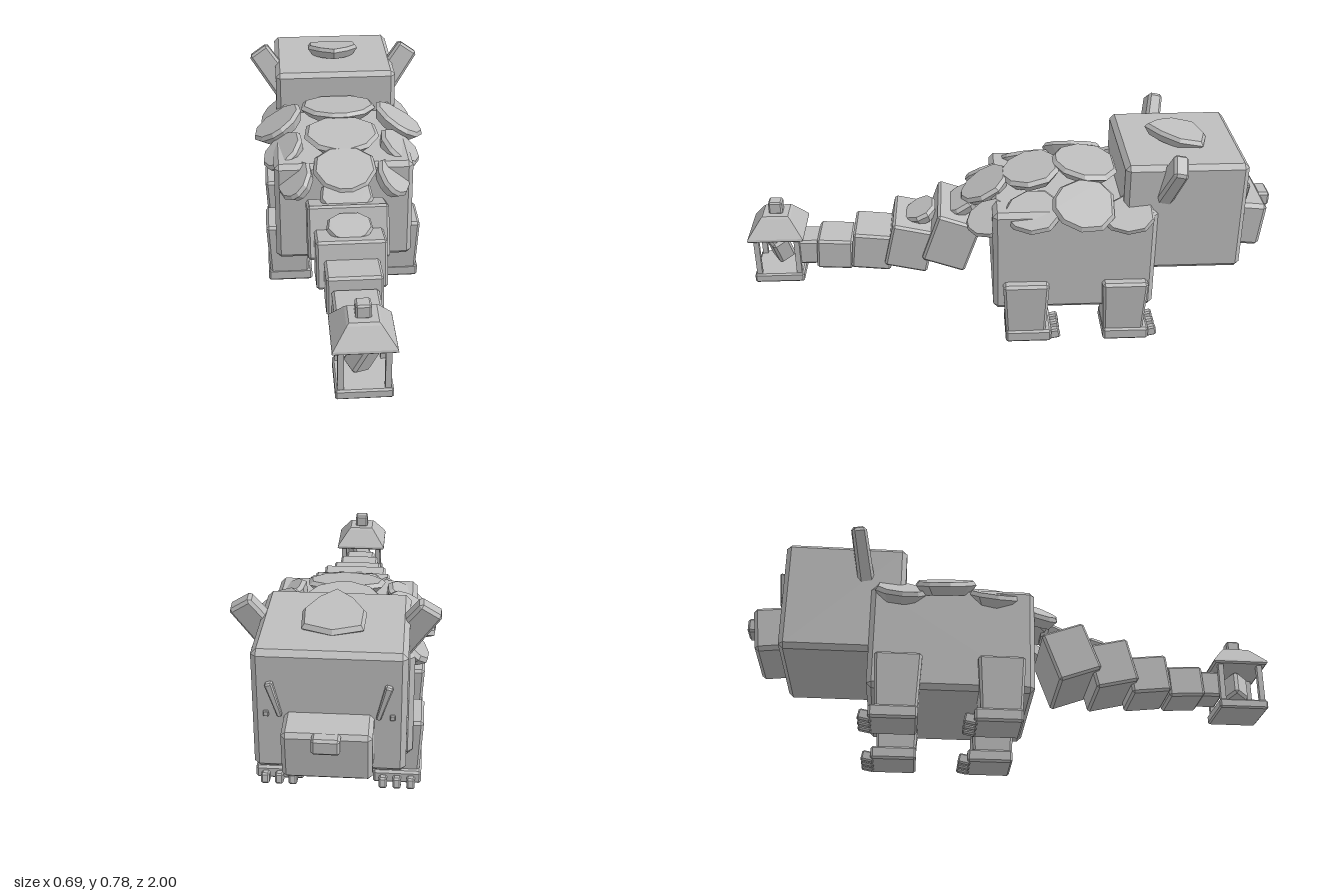
import * as THREE from 'three';
import { ConvexGeometry } from 'three/addons/geometries/ConvexGeometry.js';

const stone = new THREE.MeshStandardMaterial({ color: 0xbdbdbd });
stone.name = 'stone grey';

export function createModel() {
  const model = new THREE.Group();
  model.name = 'lanternTailBeast';

  function add(geometry, name, pos, rot = [0, 0, 0]) {
    const mesh = new THREE.Mesh(geometry, stone);
    mesh.name = name;
    mesh.position.set(...pos);
    mesh.rotation.set(...rot);
    model.add(mesh);
    return mesh;
  }

  // Box with chamfered edges; the bottom may be narrower or wider than the top
  function chamferBox(w, h, d, bevel = 0.01, bottom = 1) {
    const pts = [];
    for (const sx of [-1, 1]) for (const sy of [-1, 1]) for (const sz of [-1, 1])
      for (let full = 0; full < 3; full++) {
        const c = [w, h, d].map((s, i) => s / 2 - (i === full ? 0 : bevel));
        const k = sy < 0 ? bottom : 1;
        pts.push(new THREE.Vector3(sx * c[0] * k, sy * c[1], sz * c[2] * k));
      }
    return new ConvexGeometry(pts);
  }

  // Shield-shaped scale lying flat, with its point towards +z
  const outline = [[-0.22, -0.5], [0.22, -0.5], [0.46, -0.3], [0.5, 0.05], [0.34, 0.36],
    [0.1, 0.5], [-0.1, 0.5], [-0.34, 0.36], [-0.5, 0.05], [-0.46, -0.3]];
  function scalePlate(w, l, t) {
    const pts = [];
    for (const [y, k] of [[-0.5, 0.78], [0.2, 1], [0.5, 0.9]])
      for (const [x, z] of outline) pts.push(new THREE.Vector3(x * w * k, y * t, z * l * k));
    return new ConvexGeometry(pts);
  }

  // Body and head
  add(chamferBox(0.53, 0.41, 0.605, 0.018), 'body', [0, 0.345, -0.228]);
  add(chamferBox(0.49, 0.43, 0.45, 0.018), 'head', [0, 0.505, -0.63]);
  add(chamferBox(0.285, 0.175, 0.15, 0.014), 'snout', [0, 0.415, -0.885], [-0.11, 0, 0]);
  add(chamferBox(0.09, 0.055, 0.05, 0.008), 'nose', [0, 0.47, -0.975]);

  // Crest on top of the head
  const crest = [[-0.1, -0.09], [0, -0.12], [0.1, -0.09], [0.105, 0], [0.06, 0.07], [0, 0.12], [-0.06, 0.07], [-0.105, 0]];
  const crestPts = [];
  for (const [y, k] of [[-0.022, 0.78], [0.008, 1], [0.022, 0.9]])
    for (const [x, z] of crest) crestPts.push(new THREE.Vector3(x * k, y, z * k));
  add(new ConvexGeometry(crestPts), 'headCrest', [0, 0.738, -0.62], [-0.2, 0, 0]);

  for (const s of [1, -1]) {
    const side = s > 0 ? 'left' : 'right';

    // Ears, brows and eyes
    add(chamferBox(0.09, 0.21, 0.055, 0.01, 1.12), side + 'Ear', [s * 0.256, 0.675, -0.572], [-0.2, 0, -s * 0.6]);
    add(chamferBox(0.026, 0.125, 0.03, 0.005, 0.6), side + 'Brow', [s * 0.172, 0.555, -0.86], [0, 0, -s * 0.28]);
    add(chamferBox(0.018, 0.02, 0.012, 0.003), side + 'Eye', [s * 0.2, 0.5, -0.856]);

    // Legs with feet and three claws
    for (const [end, z] of [['Front', -0.42], ['Rear', -0.048]]) {
      add(chamferBox(0.175, 0.225, 0.172, 0.01, 0.87), side + end + 'Leg', [s * 0.215, 0.15, z]);
      add(chamferBox(0.174, 0.05, 0.174, 0.008), side + end + 'Foot', [s * 0.212, 0.035, z - 0.01]);
      for (let i = -1; i <= 1; i++)
        add(chamferBox(0.03, 0.04, 0.05, 0.006), side + end + 'Claw', [s * 0.212 + i * 0.05, 0.026, z - 0.107], [0.2, 0, 0]);
    }

    // Flank scales: width, length, x, y, z, pitch, roll
    for (const [w, l, x, y, z, pitch, roll] of [
      [0.15, 0.19, 0.245, 0.525, -0.42, 0.1, 0.75],
      [0.22, 0.225, 0.238, 0.562, -0.255, -0.05, 0.56],
      [0.18, 0.2, 0.222, 0.53, -0.07, 0.1, 0.6],
      [0.15, 0.17, 0.18, 0.485, 0.085, 0.35, 0.65],
    ]) add(scalePlate(w, l, 0.05), side + 'FlankScale', [s * x, y, z], [pitch, 0, -s * roll]);
  }

  // Scales along the spine: width, length, y, z, pitch
  for (const [w, l, y, z, pitch] of [
    [0.3, 0.24, 0.615, -0.28, -0.1],
    [0.29, 0.22, 0.59, -0.075, 0.2],
    [0.24, 0.2, 0.53, 0.095, 0.5],
    [0.2, 0.16, 0.465, 0.19, 0.5],
    [0.17, 0.13, 0.425, 0.345, 0.4],
  ]) add(scalePlate(w, l, 0.045), 'spineScale', [0, y, z], [pitch, 0, 0]);

  // Tail segments: width, height, length, y, z, tilt
  for (const [w, h, l, y, z, tilt] of [
    [0.3, 0.2, 0.17, 0.363, 0.228, 0.35],
    [0.255, 0.178, 0.165, 0.332, 0.386, 0.23],
    [0.2, 0.148, 0.152, 0.305, 0.533, 0.11],
    [0.165, 0.122, 0.138, 0.288, 0.677, 0.06],
    [0.125, 0.102, 0.1, 0.29, 0.775, 0],
  ]) add(chamferBox(w, h, l, 0.009), 'tailSegment', [0, y, z], [-tilt, 0, 0]);

  // Lantern on the tail tip
  const lz = 0.895;
  add(chamferBox(0.188, 0.036, 0.188, 0.006), 'lanternBase', [0, 0.198, lz]);
  for (const x of [-0.076, 0.076]) for (const z of [-0.076, 0.076])
    add(new THREE.BoxGeometry(0.02, 0.17, 0.02), 'lanternPost', [x, 0.295, lz + z]);
  const roof = [];
  for (const [r, y] of [[0.098, 0.362], [0.105, 0.368], [0.103, 0.376], [0.056, 0.438], [0.048, 0.446]])
    for (const x of [-r, r]) for (const z of [-r, r]) roof.push(new THREE.Vector3(x, y, z));
  add(new ConvexGeometry(roof), 'lanternRoof', [0, 0, lz]);
  add(chamferBox(0.052, 0.05, 0.052, 0.006), 'lanternKnob', [0, 0.467, lz]);
  add(chamferBox(0.075, 0.12, 0.07, 0.01), 'lanternCrystal', [0.002, 0.293, lz], [0.4, 0.5, -0.5]);

  return model;
}
